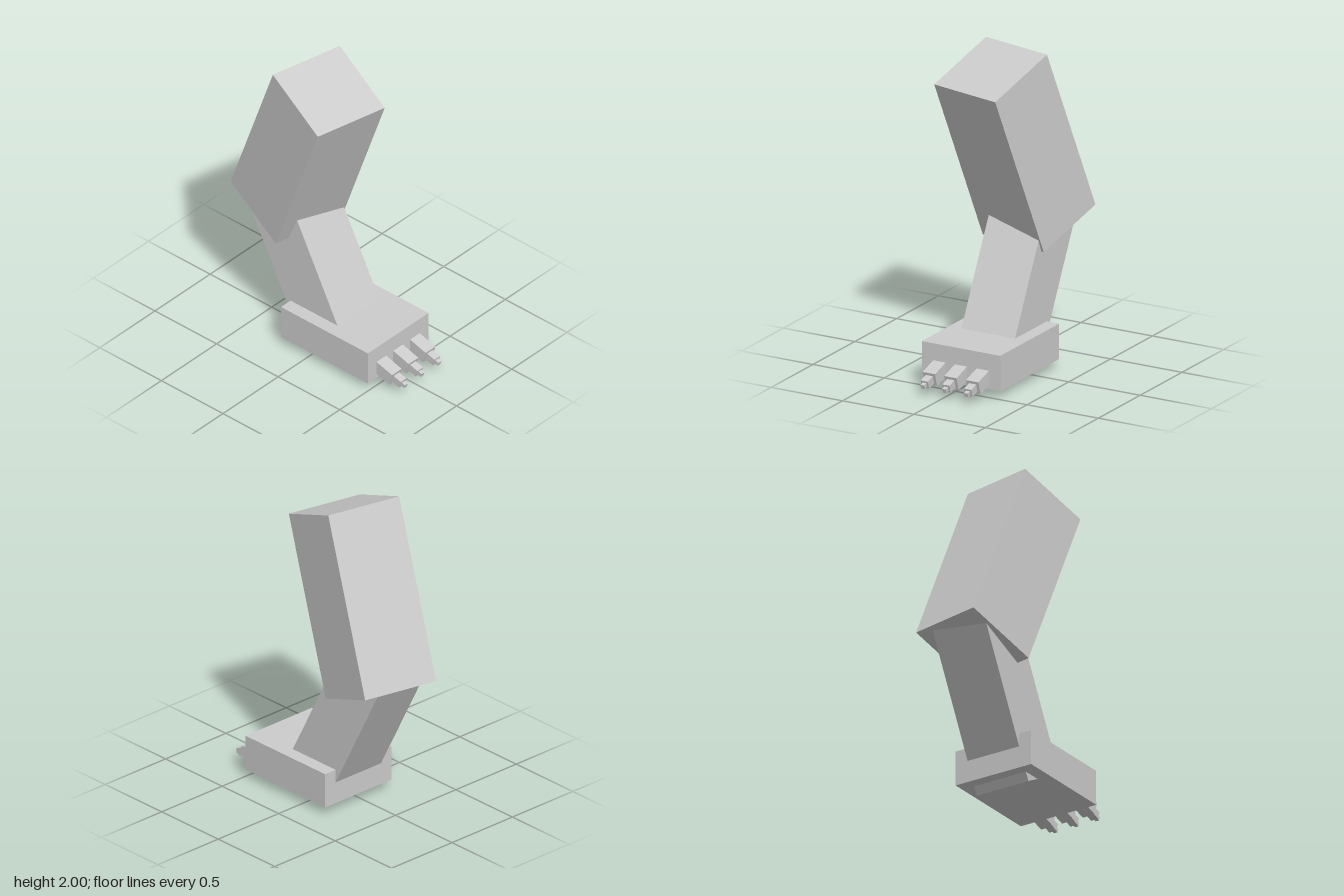
import * as THREE from 'three';

export function createModel() {
  const model = new THREE.Group();
  const grey = new THREE.MeshStandardMaterial({ color: 0xcccccc });
  grey.name = 'light grey';

  const box = (parent, name, size, position) => {
    const mesh = new THREE.Mesh(new THREE.BoxGeometry(...size), grey);
    mesh.name = name;
    mesh.position.set(...position);
    parent.add(mesh);
    return mesh;
  };

  // thigh leans forward and turns inward
  const thigh = box(model, 'thigh', [0.5, 1.15, 0.5], [0, 1.372, -0.208]);
  thigh.rotation.set(0.387, -0.212, 0, 'YXZ');

  // shin leans back, pivoting at the rear edge of its lower end
  const shin = new THREE.Group();
  shin.name = 'lowerLeg';
  shin.position.set(0.035, 0.003, -0.109);
  shin.rotation.x = -0.479;
  box(shin, 'shin', [0.376, 1.06, 0.376], [0, 0.53, 0.188]);
  model.add(shin);

  box(model, 'foot', [0.55, 0.226, 0.704], [0.035, 0.168, 0.143]);

  // three toes, each stepping down to a claw tip
  [-0.117, 0.034, 0.187].forEach((x, i) => {
    const toe = new THREE.Group();
    toe.name = `toe${i + 1}`;
    toe.position.set(x, 0.093, 0.609);
    toe.rotation.x = 0.29;
    box(toe, 'toeBase', [0.087, 0.087, 0.17], [0, 0, -0.085]);
    box(toe, 'toeMiddle', [0.051, 0.051, 0.08], [0, 0, 0.022]);
    box(toe, 'toeTip', [0.026, 0.026, 0.05], [0, 0, 0.064]);
    model.add(toe);
  });

  return model;
}
